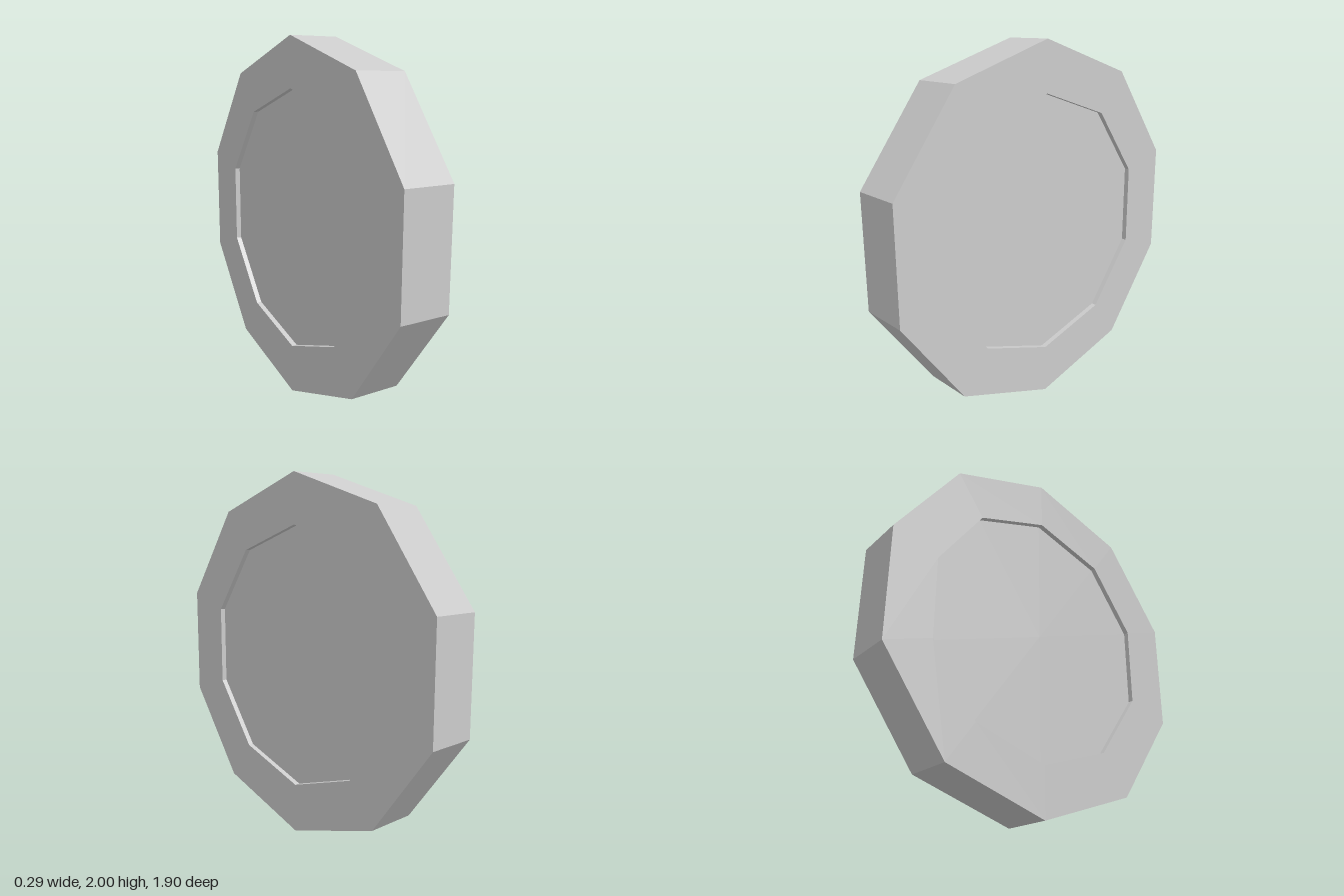
import * as THREE from 'three';

const SIDES = 10;
const RADIUS = 1;
const INNER = 0.725;
const HALF = 0.145;
const RECESS = 0.03;

export function createModel() {
  const group = new THREE.Group();
  group.name = 'wheel';
  const material = new THREE.MeshStandardMaterial({ color: 0xcccccc, flatShading: true });

  // Ten-sided rim, including the short walls of the recess on each side
  const floor = HALF - RECESS;
  const profile = [
    [INNER, -floor], [INNER, -HALF], [RADIUS, -HALF],
    [RADIUS, HALF], [INNER, HALF], [INNER, floor],
  ].map(([r, w]) => new THREE.Vector2(r, w));
  const rimGeometry = new THREE.LatheGeometry(profile, SIDES, Math.PI / 2)
    .rotateZ(Math.PI / 2)
    .toNonIndexed();
  rimGeometry.computeVertexNormals();
  const rim = new THREE.Mesh(rimGeometry, material);
  rim.name = 'rim';
  group.add(rim);

  // Sunken flat disc on each side
  for (const side of [1, -1]) {
    const disc = new THREE.Mesh(
      new THREE.CircleGeometry(INNER, SIDES, Math.PI / 2).rotateY(side * Math.PI / 2),
      material,
    );
    disc.position.x = side * floor;
    disc.name = side > 0 ? 'leftDisc' : 'rightDisc';
    group.add(disc);
  }

  // Stand the wheel on the ground
  group.children.forEach((part) => { part.position.y = RADIUS; });
  return group;
}
